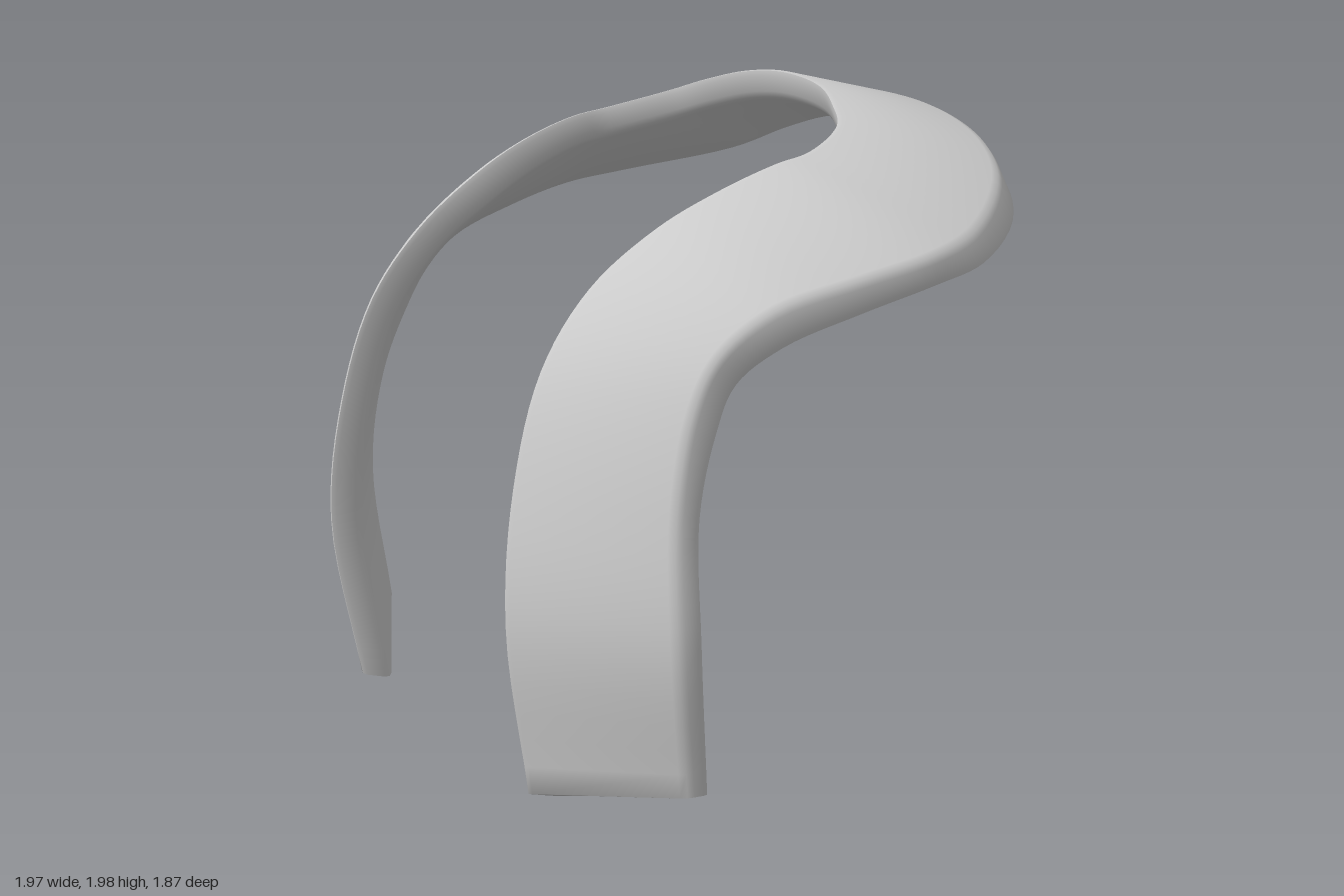
import * as THREE from 'three';
import { toCreasedNormals } from 'three/addons/utils/BufferGeometryUtils.js';

// Four edges of the strap, from the middle of the back to the tip of the left leg.
const RAILS = {
  innerTop: [[0, 2, -.45], [.2, 1.98, -.435], [.34, 1.94, -.375], [.44, 1.9, -.31], [.53, 1.85, -.13], [.54, 1.83, 0],
    [.53, 1.77, .2], [.505, 1.68, .4], [.49, 1.53, .62], [.5, 1.32, .79], [.52, 1, .9], [.54, .6, .947], [.52, .05, .87]],
  outerTop: [[0, 1.9, -.87], [.3, 1.88, -.865], [.52, 1.82, -.84], [.7, 1.74, -.75], [.92, 1.64, -.46], [.98, 1.6, -.25],
    [.965, 1.56, 0], [.92, 1.5, .28], [.895, 1.39, .45], [.9, 1.25, .54], [.935, .98, .62], [.985, .6, .65], [.96, .14, .6]],
  outerBottom: [[0, 1.79, -.945], [.3, 1.77, -.935], [.53, 1.7, -.905], [.72, 1.61, -.81], [.94, 1.53, -.48], [.98, 1.5, -.25],
    [.96, 1.45, 0], [.92, 1.38, .25], [.885, 1.29, .38], [.895, 1.17, .45], [.93, .95, .53], [.985, .6, .56], [.96, .13, .52]],
  innerBottom: [[0, 1.9, -.48], [.2, 1.88, -.47], [.34, 1.84, -.41], [.44, 1.8, -.34], [.53, 1.75, -.15], [.54, 1.73, -.03],
    [.53, 1.67, .15], [.505, 1.58, .34], [.5, 1.46, .53], [.51, 1.27, .69], [.525, .98, .79], [.54, .6, .83], [.52, .01, .76]],
};

// Mirror half an edge into one smooth curve from the right tip to the left tip.
function railCurve(half) {
  const left = half.map(p => new THREE.Vector3(...p));
  const right = left.slice(1).reverse().map(p => new THREE.Vector3(-p.x, p.y, p.z));
  return new THREE.CatmullRomCurve3([...right, ...left]);
}

// Cross-section: a four-cornered ring with each corner rounded off.
function roundedRing(corners, radius) {
  const ring = [];
  corners.forEach((c, i) => {
    const toward = q => c.clone().add(q.clone().sub(c).setLength(radius));
    const a = toward(corners[(i + 3) % 4]);
    const b = toward(corners[(i + 1) % 4]);
    const mid = a.clone().add(b).multiplyScalar(.25).addScaledVector(c, .5);
    ring.push(a, mid, b);
  });
  return ring;
}

function strapGeometry(steps = 144) {
  const curves = Object.values(RAILS).map(railCurve);
  const positions = [];
  const index = [];
  const n = 12;
  for (let i = 0; i <= steps; i++) {
    const corners = curves.map(c => c.getPoint(i / steps));
    roundedRing(corners, .025).forEach(p => positions.push(p.x, p.y, p.z));
  }
  for (let i = 0; i < steps; i++) {
    for (let j = 0; j < n; j++) {
      const a = i * n + j, b = i * n + (j + 1) % n;
      index.push(a, a + n, b, b, a + n, b + n);
    }
  }
  // Flat caps on the two leg tips
  const last = steps * n;
  for (let j = 1; j < n - 1; j++) {
    index.push(0, j, j + 1, last, last + j + 1, last + j);
  }
  const geometry = new THREE.BufferGeometry();
  geometry.setAttribute('position', new THREE.Float32BufferAttribute(positions, 3));
  geometry.setIndex(index);
  return toCreasedNormals(geometry, 1);
}

export function createModel() {
  const group = new THREE.Group();
  group.name = 'curvedCollar';
  const strap = new THREE.Mesh(strapGeometry(), new THREE.MeshStandardMaterial({ color: 0xcccccc }));
  strap.name = 'strap';
  group.add(strap);
  return group;
}
